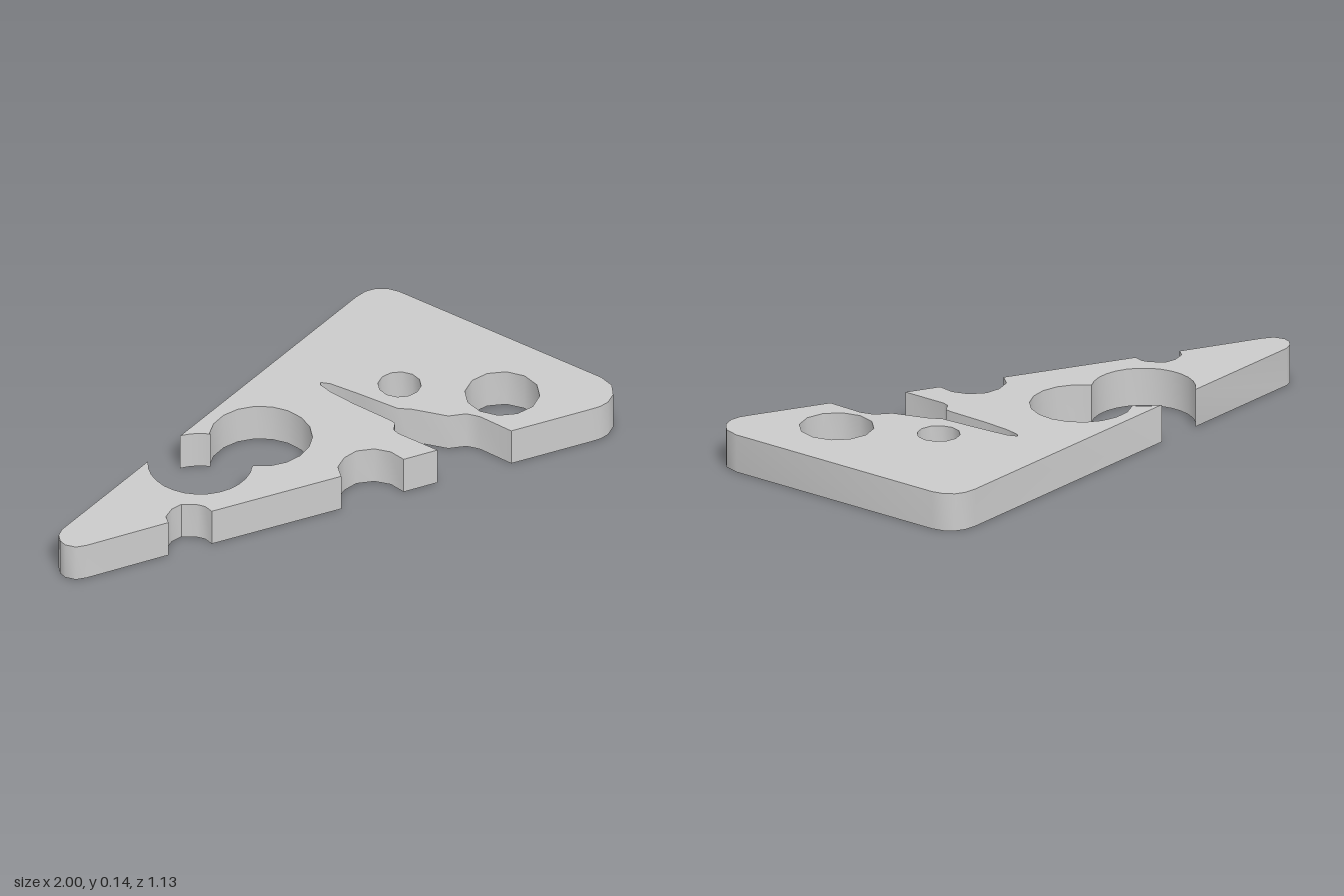
import * as THREE from 'three';
import { toCreasedNormals } from 'three/addons/utils/BufferGeometryUtils.js';

const HEIGHT = 0.145;
const rad = THREE.MathUtils.degToRad;

// Plan coordinates are (x, z); shape y is -z so the slab lies flat once turned.
function lineThrough(shape, points) {
  for (const [x, z] of points) shape.lineTo(x, -z);
}

// Clockwise bite out of the outline
function bite(shape, x, z, r, from, to) {
  shape.absarc(x, -z, r, rad(from), rad(to), true);
}

function roundHole(x, z, r) {
  const points = [];
  for (let i = 0; i < 12; i++) {
    const a = (i / 12) * Math.PI * 2;
    points.push(new THREE.Vector2(x + r * Math.cos(a), -z + r * Math.sin(a)));
  }
  return new THREE.Path(points);
}

function wedgeOutline() {
  const s = new THREE.Shape();
  // Long back edge, from the square corner to the open pair of round bites
  s.moveTo(0.88, 0.567);
  s.lineTo(-0.2, 0.567);
  bite(s, -0.3, -0.405, 0.19, 59, 25);
  bite(s, -0.03, -0.33, 0.188, 121.5, -153);
  bite(s, -0.3, -0.405, 0.19, -57, -239);
  // Narrow rounded tip
  lineThrough(s, [[-0.4, -0.567], [-0.93, -0.567], [-0.965, -0.555], [-0.99, -0.53],
    [-1, -0.5], [-0.988, -0.46], [-0.955, -0.435]]);
  // Small notch on the sloping edge
  lineThrough(s, [[-0.665, -0.28], [-0.64, -0.31], [-0.59, -0.32], [-0.545, -0.31],
    [-0.512, -0.26], [-0.505, -0.232], [-0.515, -0.195]]);
  // Larger notch on the sloping edge
  lineThrough(s, [[-0.06, 0.055], [-0.02, 0.01], [0.04, -0.005], [0.1, 0.005],
    [0.15, 0.05], [0.17, 0.11], [0.16, 0.175]]);
  // Deep narrow slot
  lineThrough(s, [[0.28, 0.24], [0.28, 0.06], [0.29, 0.035], [0.325, 0.015],
    [0.33, -0.01], [0.335, -0.18], [0.345, -0.29], [0.358, -0.345], [0.37, -0.355],
    [0.385, -0.32], [0.395, -0.2], [0.405, -0.03], [0.43, 0.01], [0.475, 0.145],
    [0.525, 0.19], [0.54, 0.24], [0.535, 0.385]]);
  // Front rounded corner, right side and square back corner
  lineThrough(s, [[0.81, 0.535], [0.85, 0.555], [0.89, 0.562], [0.94, 0.548],
    [0.983, 0.51], [1, 0.45], [1, -0.46], [0.99, -0.505], [0.965, -0.54],
    [0.93, -0.56], [0.88, -0.567]]);
  s.holes.push(roundHole(0.53, -0.115, 0.079), roundHole(0.705, 0.22, 0.137));
  return s;
}

export function createModel() {
  const group = new THREE.Group();
  group.name = 'cheeseWedge';

  // Flat slab with holes, smooth round walls and sharp rims
  const slab = new THREE.ExtrudeGeometry(wedgeOutline(), {
    depth: HEIGHT, bevelEnabled: false, curveSegments: 7,
  });
  slab.rotateX(-Math.PI / 2);
  const mesh = new THREE.Mesh(
    toCreasedNormals(slab, rad(40)),
    new THREE.MeshStandardMaterial({ color: 0xcccccc }),
  );
  mesh.name = 'cheeseSlab';
  group.add(mesh);
  return group;
}
